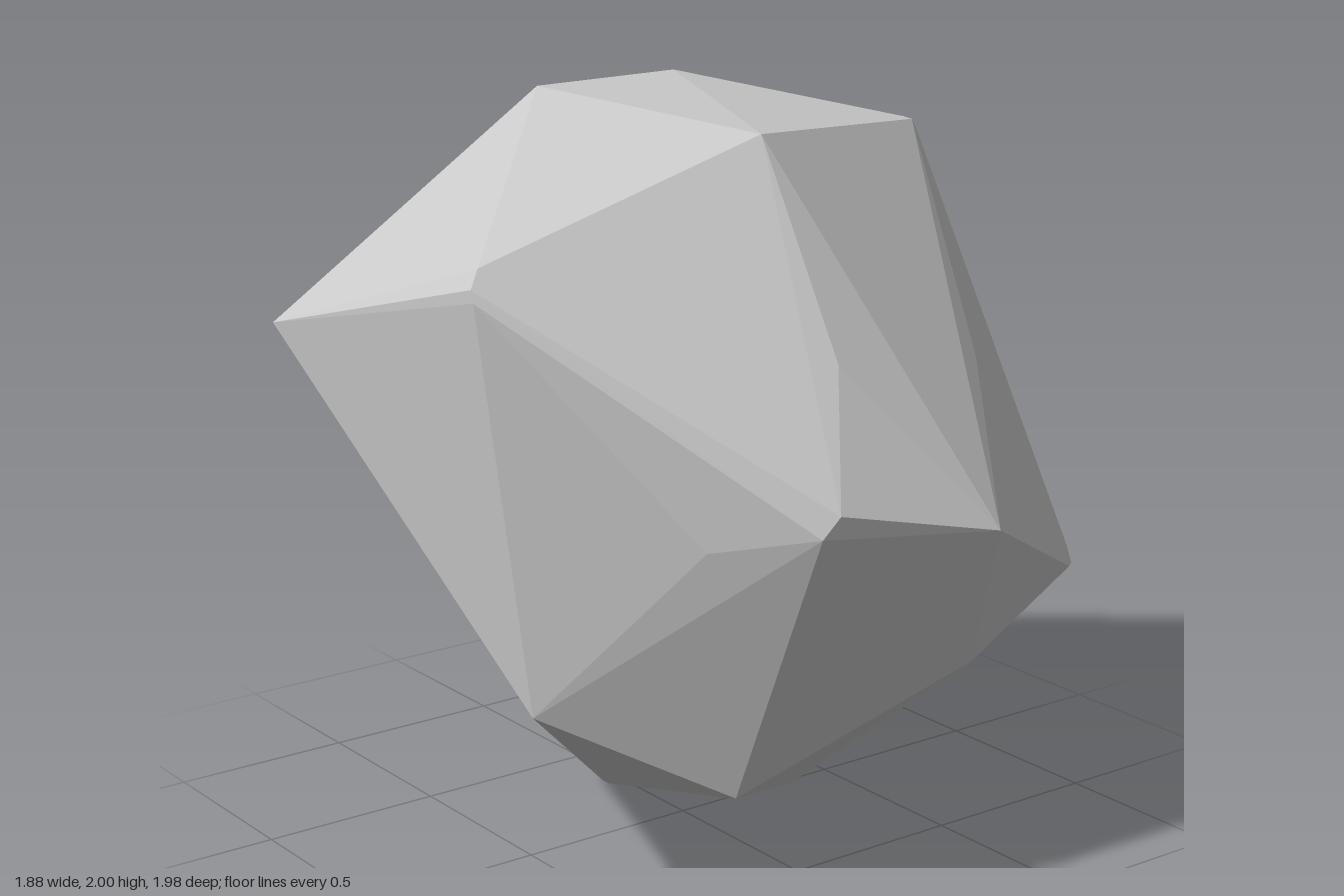
import * as THREE from 'three';
import { ConvexGeometry } from 'three/addons/geometries/ConvexGeometry.js';

// Corners of the faceted boulder, grouped by the side they shape
const corners = {
  crown: [
    [-0.32, 2.0, -0.19], [0.2, 1.98, -0.31], [-0.02, 1.92, 0.35],
    [0.82, 1.82, -0.05], [0.83, 1.79, -0.04], [0.81, 1.825, -0.07],
    [-0.94, 1.67, 0.45], [-0.94, 1.64, 0.46], [-0.9, 1.71, 0.42],
  ],
  front: [
    [-0.1, 1.43, 0.755], [0.56, 1.3, 0.52], [-0.28, 1.14, 0.99], [-0.33, 1.09, 0.985],
    [0.23, 1.01, 0.985], [-0.53, 1.05, 0.805], [0.28, 0.62, 0.84],
    [0.94, 0.71, 0.49], [0.93, 0.67, 0.52], [0.86, 0.69, 0.585],
  ],
  back: [
    [-0.08, 1.67, -0.71], [-0.17, 1.41, -0.98], [-0.26, 1.31, -0.935], [-0.89, 1.39, -0.58],
    [0.28, 0.95, -0.99], [0.61, 1.22, -0.71], [0.78, 0.81, -0.58],
    [0.8, 0.69, -0.33], [0.61, 0.47, -0.82],
  ],
  base: [
    [-0.8, 0.6, 0.47], [-0.36, 0.36, 0.7], [0.04, 0.21, 0.42],
    [0.79, 0.25, -0.15], [0.77, 0.21, -0.19], [0.74, 0.19, -0.2],
    [-0.05, 0, -0.31], [-0.07, 0.015, -0.25],
  ],
};

export function createModel() {
  const group = new THREE.Group();
  group.name = 'boulder';

  // One convex hull gives the flat facets and narrow worn edges
  const points = Object.values(corners).flat().map((p) => new THREE.Vector3(...p));
  const rock = new THREE.Mesh(
    new ConvexGeometry(points),
    new THREE.MeshStandardMaterial({ color: 0xcccccc, flatShading: true }),
  );
  rock.name = 'rock';
  group.add(rock);
  return group;
}
